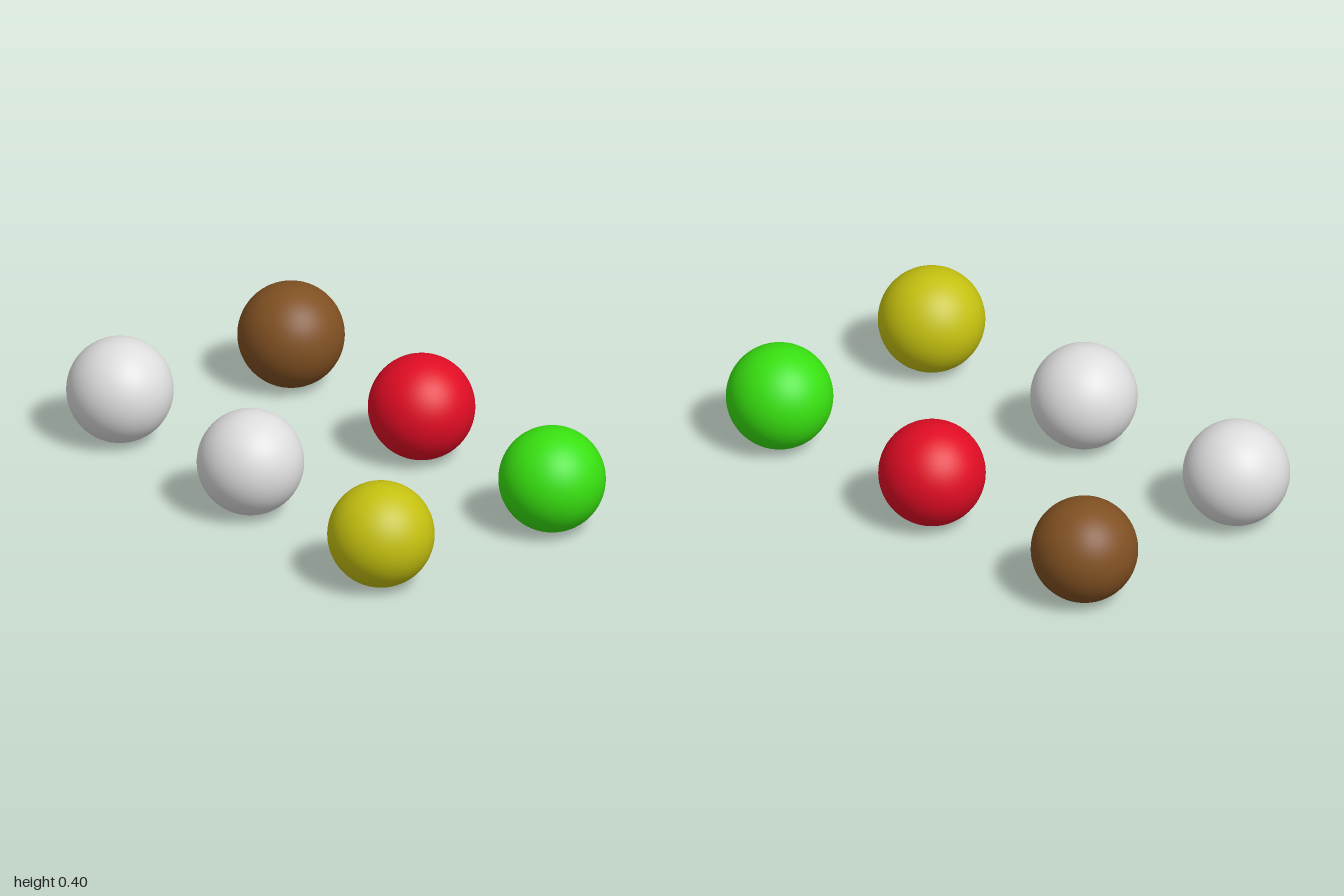
import * as THREE from 'three';

const RADIUS = 0.2;

export function createModel() {
  const model = new THREE.Group();
  model.name = 'sphereGrid';

  const material = (name, color) => {
    const m = new THREE.MeshStandardMaterial({ color });
    m.name = name;
    return m;
  };
  const lightGrey = material('light grey', 0xdddddd);
  const yellow = material('yellow', 0xc4c010);
  const brown = material('brown', 0x805022);
  const red = material('red', 0xe00c24);
  const green = material('green', 0x38e010);

  // Two rows of three equal balls, listed from the model's right to its left
  const rows = [
    { z: 0.4, balls: [['frontRightBall', lightGrey], ['frontMiddleBall', lightGrey], ['frontLeftBall', yellow]] },
    { z: -0.4, balls: [['backRightBall', brown], ['backMiddleBall', red], ['backLeftBall', green]] },
  ];

  const geometry = new THREE.SphereGeometry(RADIUS, 64, 32);
  for (const { z, balls } of rows) {
    balls.forEach(([name, mat], i) => {
      const ball = new THREE.Mesh(geometry, mat);
      ball.name = name;
      ball.position.set((i - 1) * 0.8, RADIUS, z);
      model.add(ball);
    });
  }
  return model;
}
